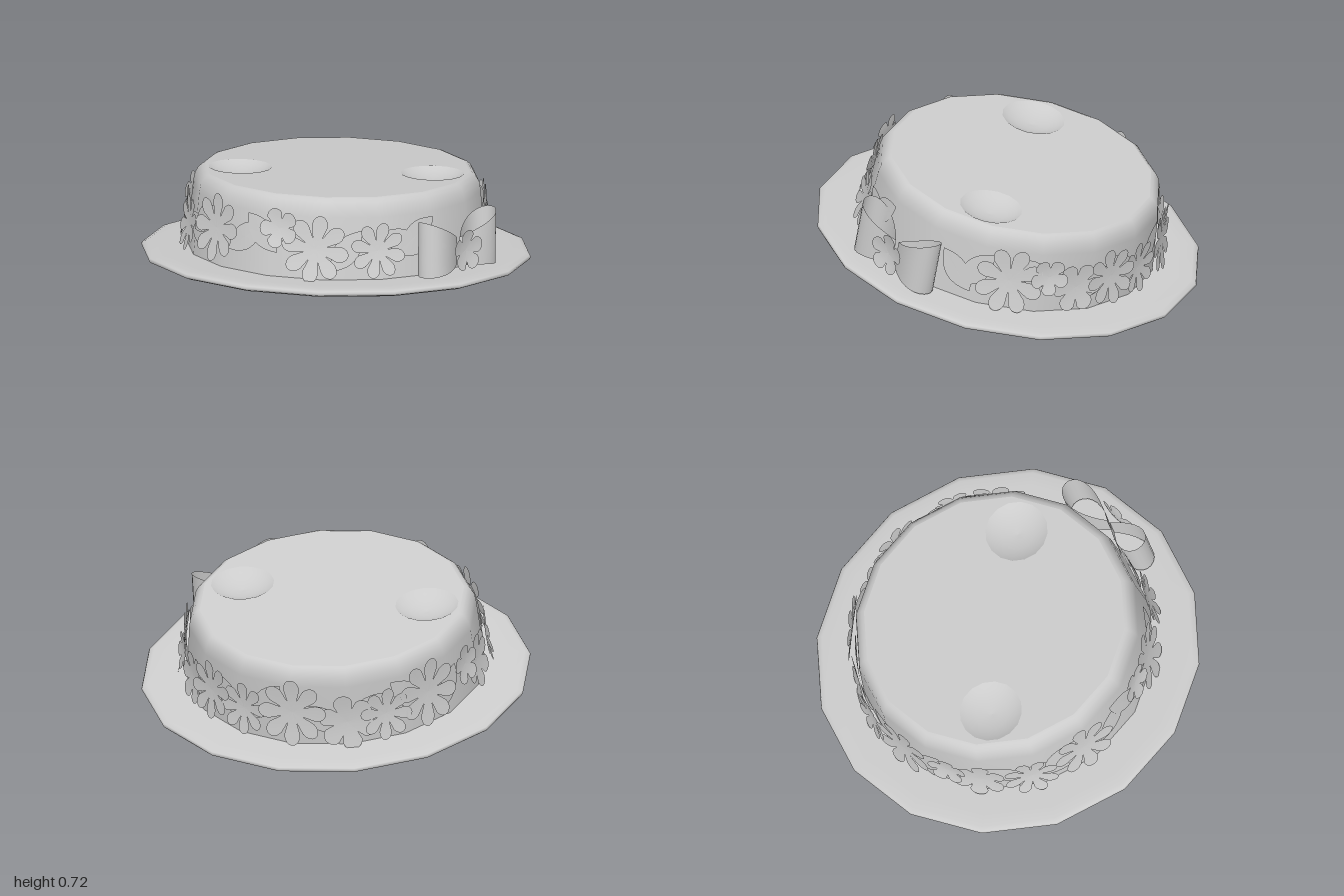
import * as THREE from 'three';

const SIDES = 16;
const rad = THREE.MathUtils.degToRad;
const solid = new THREE.MeshStandardMaterial({ color: 0xcccccc });
const thin = new THREE.MeshStandardMaterial({ color: 0xcccccc, side: THREE.DoubleSide });

function lathe(name, profile) {
  const points = profile.map(([r, y]) => new THREE.Vector2(r, y));
  const mesh = new THREE.Mesh(new THREE.LatheGeometry(points, SIDES), solid);
  mesh.name = name;
  return mesh;
}

function polygon(radius, cx = 0, cy = 0) {
  return Array.from({ length: SIDES }, (_, i) => {
    const a = (i / SIDES) * Math.PI * 2;
    return new THREE.Vector2(cx + radius * Math.cos(a), cy + radius * Math.sin(a));
  });
}

// Rewrite every vertex of a geometry by a rule, then refresh its normals
function reshape(geometry, rule) {
  const p = geometry.attributes.position;
  for (let i = 0; i < p.count; i++) p.setXYZ(i, ...rule(p.getX(i), p.getY(i)));
  geometry.computeVertexNormals();
  return geometry;
}

// Petalled disc, turned by roll, bent around the crown with tips curling outward
function flowerGeometry(petals, radius, notch, curl, roll, bend) {
  return reshape(new THREE.RingGeometry(0.001, 1, petals * 12, 3), (x, y) => {
    const a = Math.atan2(y, x), d = Math.hypot(x, y);
    const edge = notch + (1 - notch) * Math.pow(Math.abs(Math.cos(a * petals / 2)), 0.4);
    const r = radius * d * edge;
    const px = r * Math.cos(a + roll);
    return [px, r * Math.sin(a + roll), curl * d * d * edge * edge - px * px * bend];
  });
}

// Pointed leaf, turned by roll and bent around the crown
function leafGeometry(length, width, roll) {
  const c = Math.cos(roll), s = Math.sin(roll);
  return reshape(new THREE.RingGeometry(0.001, 1, 24, 2), (x, y) => {
    const u = x * length, v = y * Math.abs(y) * width;
    const px = u * c - v * s;
    return [px, u * s + v * c, -px * px * 0.6];
  });
}

// Ribbon loop: a teardrop in plan that grows taller away from the knot
function loopGeometry(side) {
  return reshape(new THREE.PlaneGeometry(1, 1, 24, 3), (x, y) => {
    const a = (x + 0.5) * Math.PI * 2;
    const out = (1 - Math.cos(a)) / 2;
    const low = 0.06 - 0.03 * out, high = 0.2 + 0.12 * out;
    return [
      side * (0.01 + 0.26 * out),
      low + (high - low) * (y + 0.5),
      0.095 * Math.sin(a) * Math.sin(a / 2) - 0.01 * out,
    ];
  });
}

// Put a part on the crown wall at an angle measured from the front, leaning with the wall
function place(mesh, degrees, y, radius, lean = 0) {
  const a = rad(degrees);
  mesh.position.set(radius * Math.sin(a), y, radius * Math.cos(a));
  mesh.rotation.set(-lean, a, 0, 'YXZ');
  return mesh;
}

export function createModel() {
  const model = new THREE.Group();
  model.name = 'strawHat';
  const hat = new THREE.Group();
  hat.name = 'tiltedHat';
  hat.position.y = 0.182;
  hat.rotation.x = rad(-9.5);
  model.add(hat);

  // Brim and slightly tapered crown wall
  hat.add(lathe('brim', [[0, -0.02], [0.9, -0.02], [0.97, -0.02], [0.995, -0.01], [1, 0],
    [0.995, 0.01], [0.97, 0.02], [0.9, 0.02], [0.7, 0.02]]));
  hat.add(lathe('crownWall', [[0.765, 0], [0.751, 0.18], [0.738, 0.34], [0.73, 0.385],
    [0.712, 0.415], [0.695, 0.43], [0.68, 0.435]]));

  // Flat crown top with two round dents
  const topShape = new THREE.Shape(polygon(0.68));
  for (const s of [-1, 1]) {
    topShape.holes.push(new THREE.Path(polygon(0.162, s * 0.493, -0.05)));
    const dent = lathe('crownDent', [[0.162, 0], [0.13, -0.019], [0.085, -0.034], [0.04, -0.042], [0, -0.045]]);
    dent.position.set(s * 0.493, 0.435, 0.05);
    hat.add(dent);
  }
  const top = new THREE.Mesh(new THREE.ShapeGeometry(topShape).rotateX(-Math.PI / 2), solid);
  top.name = 'crownTop';
  top.position.y = 0.435;
  hat.add(top);

  // Flower garland: angle, height, radius, petals
  const garland = [
    [-48, 0.22, 0.175, 8], [-17, 0.28, 0.105, 5], [-3, 0.18, 0.175, 8], [21, 0.175, 0.145, 8],
    [101, 0.19, 0.18, 8], [116, 0.235, 0.1, 5], [128, 0.165, 0.135, 6], [143, 0.2, 0.155, 8],
    [160, 0.175, 0.14, 8], [181, 0.215, 0.18, 8], [202, 0.155, 0.15, 6], [217, 0.175, 0.14, 8],
    [236, 0.215, 0.18, 8], [257, 0.245, 0.105, 5], [269, 0.175, 0.14, 6], [289, 0.18, 0.145, 8],
  ];
  garland.forEach(([angle, y, radius, petals], i) => {
    const geometry = flowerGeometry(petals, radius, petals === 8 ? 0.35 : 0.5, 0.015, i * 0.7, 0.5);
    const flower = new THREE.Mesh(geometry, thin);
    flower.name = petals === 8 ? 'daisy' : 'blossom';
    hat.add(place(flower, angle, y, 0.768 + (i % 2) * 0.008, 0.14));
  });

  // Leaves tucked between the flowers
  const leafAngles = [-64, -33, -25, 9, 32, 38, 80, 88, 110, 136, 151, 170, 192, 210, 227, 247, 279, 302];
  leafAngles.forEach((angle, i) => {
    const roll = (i % 2 ? 1 : -1) * (0.5 + (i % 4) * 0.15);
    const mesh = new THREE.Mesh(leafGeometry(0.13, 0.065, roll), thin);
    mesh.name = 'leaf';
    hat.add(place(mesh, angle, 0.17 + (i % 3) * 0.035, 0.758, 0.08));
  });

  // Bow with a blossom over its knot
  const bow = new THREE.Group();
  bow.name = 'bow';
  for (const s of [-1, 1]) {
    const loop = new THREE.Mesh(loopGeometry(s), thin);
    loop.name = 'bowLoop';
    bow.add(loop);
  }
  const blossom = new THREE.Mesh(flowerGeometry(5, 0.11, 0.5, 0.02, Math.PI / 2, 0), thin);
  blossom.name = 'bowBlossom';
  blossom.position.set(0, 0.14, 0.05);
  bow.add(blossom);
  hat.add(place(bow, 55, 0, 0.815));

  return model;
}
